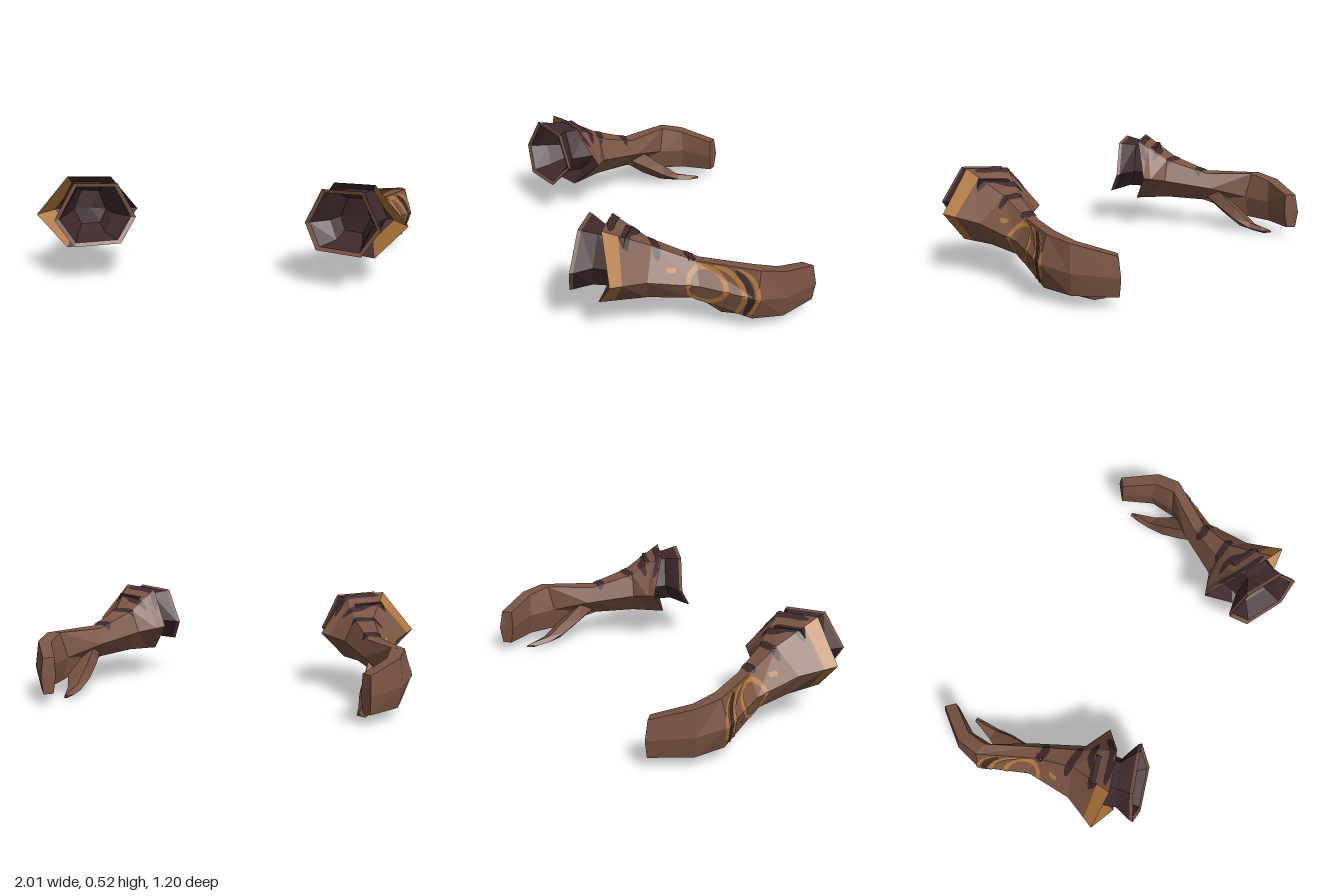
import * as THREE from 'three';

const V = (p) => new THREE.Vector3(...p);
const material = (name, color) => {
  const m = new THREE.MeshStandardMaterial({ color });
  m.name = name;
  return m;
};

// Faceted skin over cross-sections listed from +z to -z; pick(ring, side) chooses the material.
function loft(sections, { startCap = false, endCap = false, pick = () => 0 } = {}) {
  const buckets = [[], [], []];
  const n = sections[0].length;
  const centre = (s) => s.reduce((c, p) => c.add(p), new THREE.Vector3()).divideScalar(n);
  for (let j = 0; j < sections.length - 1; j++) {
    for (let i = 0; i < n; i++) {
      const k = (i + 1) % n;
      const a = sections[j][i], b = sections[j][k], c = sections[j + 1][k], d = sections[j + 1][i];
      buckets[pick(j, i)].push(a, b, c, a, c, d);
    }
  }
  const first = sections[0], last = sections[sections.length - 1];
  for (let i = 0; i < n; i++) {
    const k = (i + 1) % n;
    if (startCap) buckets[0].push(centre(first), first[k], first[i]);
    if (endCap) buckets[0].push(centre(last), last[i], last[k]);
  }
  const g = new THREE.BufferGeometry().setFromPoints(buckets.flat());
  let start = 0;
  buckets.forEach((b, i) => {
    if (b.length) g.addGroup(start, b.length, i);
    start += b.length;
  });
  g.computeVertexNormals();
  return g;
}

// Shrinks a section about its centre and moves it.
function shrink(section, sh, sv, move) {
  const c = section.reduce((s, p) => s.add(p), new THREE.Vector3()).divideScalar(section.length);
  return section.map((p) => p.clone().sub(c).multiply(V([sh, sv, sh])).add(c).add(V(move)));
}

// Thin painted stroke laid on the surface along an axis: 'x' uses (z, y) points, 'y' uses (x, z).
function stroke(targets, axis, points, width, closed = false) {
  const curve = new THREE.CatmullRomCurve3(points.map(([u, v]) => V([u, v, 0])), closed);
  const dir = axis === 'x' ? V([-1, 0, 0]) : V([0, -1, 0]);
  const ray = new THREE.Raycaster();
  const steps = 36, across = 4, grid = [], out = [];
  for (let i = 0; i <= steps; i++) {
    const t = i / steps, p = curve.getPoint(t), tan = curve.getTangent(t);
    const w = closed ? width : width * Math.min(1, 0.35 + 4 * Math.min(t, 1 - t));
    const row = [];
    for (let j = 0; j <= across; j++) {
      const o = (j / across - 0.5) * w;
      const u = p.x - tan.y * o, v = p.y + tan.x * o;
      ray.set(axis === 'x' ? V([3, v, u]) : V([u, 3, v]), dir);
      const hit = ray.intersectObjects(targets, false)[0];
      row.push(hit ? hit.point.clone().addScaledVector(hit.face.normal, 0.004) : null);
    }
    grid.push(row);
  }
  const tri = (a, b, c) => {
    const nrm = b.clone().sub(a).cross(c.clone().sub(a));
    if (nrm.dot(dir) > 0) out.push(a, c, b);
    else out.push(a, b, c);
  };
  for (let i = 0; i < steps; i++) {
    for (let j = 0; j < across; j++) {
      const q = [grid[i][j], grid[i + 1][j], grid[i + 1][j + 1], grid[i][j + 1]];
      if (q.some((p) => !p) || q[0].distanceTo(q[2]) > 0.07) continue;
      tri(q[0], q[1], q[2]);
      tri(q[0], q[2], q[3]);
    }
  }
  const g = new THREE.BufferGeometry().setFromPoints(out);
  g.computeVertexNormals();
  return g;
}

// Mirror in x, swapping corners so faces stay outward.
function mirrored(geometry) {
  const g = geometry.clone();
  const p = g.attributes.position;
  for (let i = 0; i < p.count; i += 3) {
    const c = [0, 2, 1].map((k) => V([-p.getX(i + k), p.getY(i + k), p.getZ(i + k)]));
    c.forEach((v, k) => p.setXYZ(i + k, v.x, v.y, v.z));
  }
  g.computeVertexNormals();
  return g;
}

export function createModel() {
  const brown = material('brown hide', 0x7a5443);
  const dark = material('dark hide', 0x3e292c);
  const gold = material('gold paint', 0xb0763a);
  const parts = [];
  const add = (name, geometry, mat) => {
    const mesh = new THREE.Mesh(geometry, mat);
    mesh.name = name;
    parts.push(mesh);
    return mesh;
  };

  // Arm sections: top outer, outer, bottom outer, bottom inner, inner, top inner
  const arm = [
    [[0.77, 0.525, 0.44], [0.94, 0.32, 0.44], [0.78, 0.157, 0.465], [0.57, 0.16, 0.36], [0.46, 0.31, 0.23], [0.57, 0.51, 0.35]],
    [[0.75, 0.41, 0.2], [0.875, 0.285, 0.25], [0.81, 0.17, 0.24], [0.67, 0.17, 0.2], [0.6, 0.28, 0.17], [0.65, 0.4, 0.19]],
    [[0.81, 0.335, 0], [0.88, 0.235, 0], [0.845, 0.16, 0.03], [0.77, 0.16, 0], [0.735, 0.24, -0.07], [0.755, 0.325, -0.03]],
    [[0.965, 0.33, -0.27], [1, 0.195, -0.25], [0.955, 0.07, -0.24], [0.88, 0.07, -0.25], [0.86, 0.19, -0.24], [0.895, 0.33, -0.26]],
    [[0.955, 0.305, -0.4], [0.97, 0.17, -0.41], [0.95, 0.06, -0.4], [0.89, 0.06, -0.39], [0.865, 0.18, -0.39], [0.89, 0.3, -0.38]],
    [[0.84, 0.25, -0.585], [0.845, 0.15, -0.603], [0.84, 0.06, -0.59], [0.8, 0.06, -0.555], [0.79, 0.15, -0.545], [0.795, 0.25, -0.545]],
  ].map((s) => s.map(V));
  const trimEdge = arm[0].map((p, i) => p.clone().lerp(arm[1][i], 0.33));
  const armMesh = add('forearmAndHand',
    loft([arm[0], trimEdge, ...arm.slice(1)], { endCap: true, pick: (j, i) => (j === 0 && i < 2 ? 1 : 0) }),
    [brown, gold]);

  // Hollow inside the flared sleeve end, gold behind the trim
  add('sleeveLining',
    loft([shrink(arm[0], 0.62, 0.62, [0.03, 0, -0.07]), arm[0]], { startCap: true, pick: (j, i) => (i < 2 ? 1 : 0) }),
    [dark, gold]);

  // Thumb: tapering four-sided sections from wrist to tip
  const thumb = [
    [0.77, 0.85, 0.16, 0.25, 0.01], [0.745, 0.92, 0.062, 0.22, -0.12], [0.74, 0.87, 0.018, 0.14, -0.23],
    [0.75, 0.825, 0.008, 0.06, -0.33], [0.755, 0.8, 0.003, 0.045, -0.41], [0.76, 0.77, 0.02, 0.03, -0.465],
  ].map(([x0, x1, y0, y1, z]) => [[x0 + 0.02, y1, z], [x1, (y0 + y1) / 2 + 0.01, z], [(x0 + x1) / 2 + 0.02, y0, z], [x0, (y0 + y1) / 2, z]].map(V));
  const thumbMesh = add('thumb', loft(thumb, { endCap: true }), brown);

  // Elbow cuff: flared dark neck, brown rim and dark hollow
  const rim = [[0.71, 0.515, 0.54], [0.8, 0.34, 0.6], [0.71, 0.2, 0.59], [0.49, 0.2, 0.5], [0.43, 0.315, 0.41], [0.51, 0.5, 0.45]].map(V);
  const lip = shrink(rim, 0.88, 0.88, [0.003, 0, -0.006]);
  add('cuffNeck',
    loft([rim, shrink(rim, 0.97, 0.97, [0.008, 0, -0.015]), shrink(rim, 0.62, 0.84, [0.06, 0.005, -0.08]), shrink(rim, 0.68, 0.8, [0.1, 0, -0.2])],
      { endCap: true, pick: (j) => (j === 0 ? 1 : 0) }),
    [dark, brown]);
  add('cuffRim', loft([lip, rim]), brown);
  add('cuffHollow',
    loft([shrink(rim, 0.4, 0.55, [0.07, 0, -0.15]), shrink(rim, 0.58, 0.76, [0.05, 0, -0.08]), lip], { startCap: true }), dark);

  // Painted circle and arcs on the outside of the hand
  const skin = [armMesh, thumbMesh];
  const circle = Array.from({ length: 16 }, (_, i) => {
    const a = (i / 16) * Math.PI * 2;
    return [-0.031 + 0.086 * Math.cos(a), 0.234 + 0.082 * Math.sin(a)];
  });
  add('handCircle', stroke(skin, 'x', circle, 0.024, true), gold);
  add('handArcInner', stroke(skin, 'x', [[-0.075, 0.325], [-0.14, 0.305], [-0.185, 0.25], [-0.193, 0.17], [-0.165, 0.085]], 0.024), gold);
  add('handArcDark', stroke(skin, 'x', [[-0.165, 0.315], [-0.21, 0.265], [-0.222, 0.19], [-0.205, 0.085]], 0.03), dark);
  add('handArcOuter', stroke(skin, 'x', [[-0.18, 0.325], [-0.235, 0.285], [-0.253, 0.22], [-0.245, 0.15], [-0.225, 0.085]], 0.02), gold);

  // Dark stripes across the top of the forearm
  [
    [[[0.81, 0.01], [0.77, 0.025], [0.72, 0.015]], 0.045],
    [[[0.8, 0.185], [0.72, 0.18], [0.64, 0.185]], 0.04],
    [[[0.8, 0.335], [0.72, 0.31], [0.67, 0.26], [0.58, 0.245]], 0.035],
    [[[0.75, 0.4], [0.66, 0.37], [0.57, 0.325], [0.53, 0.27]], 0.035],
  ].forEach(([pts, w], i) => add(`forearmStripe${i + 1}`, stroke(skin, 'y', pts, w), dark));
  add('forearmTick', stroke(skin, 'y', [[0.825, 0.1], [0.832, 0.125], [0.83, 0.15]], 0.018), gold);

  // Matching pair
  const model = new THREE.Group();
  model.name = 'gauntletPair';
  const left = new THREE.Group(), right = new THREE.Group();
  left.name = 'leftGauntlet';
  right.name = 'rightGauntlet';
  for (const part of parts) {
    const twin = new THREE.Mesh(mirrored(part.geometry), part.material);
    twin.name = part.name;
    left.add(part);
    right.add(twin);
  }
  model.add(left, right);
  return model;
}
